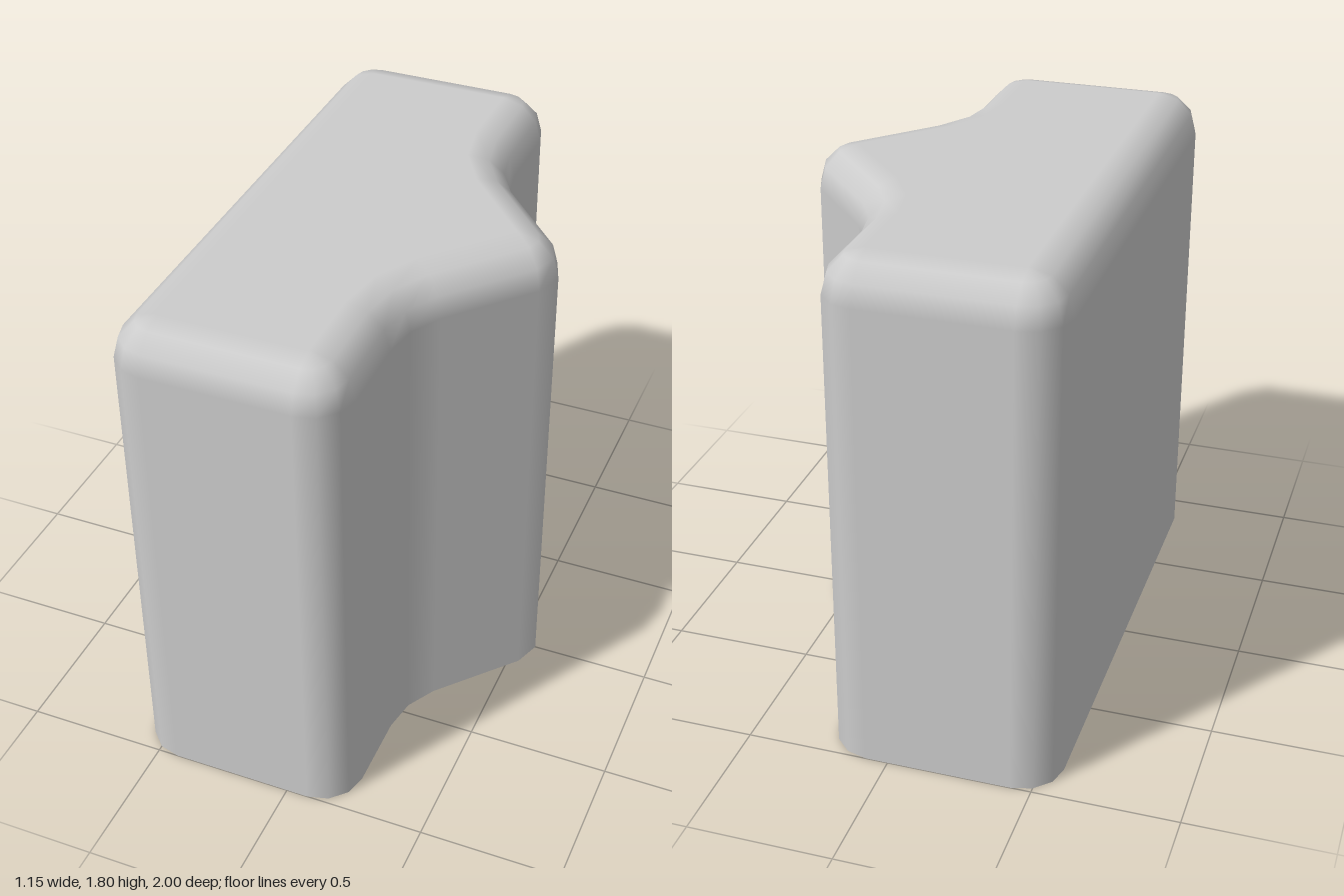
import * as THREE from 'three';

const HEIGHT = 1.8, R = 0.145; // overall height, rounding radius

// Half outline (z >= 0) from tip to back: points with outward normals
function outline() {
  const half = [];
  const arc = (cx, cz, r, degrees) => {
    for (const d of degrees) {
      const a = THREE.MathUtils.degToRad(d), nx = Math.cos(a), nz = Math.sin(a);
      half.push({ x: cx + r * nx, z: cz + r * nz, nx, nz });
    }
  };
  arc(0.428, 0, R, [0, 40]);                    // pointed nose
  arc(0.56, 0.58, -0.34, [40, 20, 0]);          // concave fillet
  arc(0.077, 1 - R, R, [0, 30, 60, 90]);        // end corner
  arc(-0.573 + R, 1 - R, R, [90, 120, 150, 180]); // rear corner
  const mirrored = half.slice(1).reverse().map(p => ({ x: p.x, z: -p.z, nx: p.nx, nz: -p.nz }));
  return [...half, ...mirrored];
}

export function createModel() {
  const group = new THREE.Group();
  group.name = 'nosedCover';
  const material = new THREE.MeshStandardMaterial({ color: 0xcccccc, side: THREE.DoubleSide });
  const loop = outline(), n = loop.length;

  // Walls and rounded shoulder: the outline shrinks along its normals towards the top
  const rings = [{ y: 0, t: 0 }];
  for (let k = 0; k <= 3; k++) {
    const t = k * Math.PI / 6;
    rings.push({ y: HEIGHT - R + R * Math.sin(t), t });
  }
  const positions = [], normals = [], index = [];
  rings.forEach(({ y, t }, k) => {
    const inset = R * (1 - Math.cos(t));
    loop.forEach((p, i) => {
      positions.push(p.x - p.nx * inset, y, p.z - p.nz * inset);
      normals.push(p.nx * Math.cos(t), Math.sin(t), p.nz * Math.cos(t));
      if (k === 0) return;
      const j = (i + 1) % n, a = (k - 1) * n + i, b = (k - 1) * n + j, c = k * n + i, d = k * n + j;
      index.push(a, c, b, b, c, d);
    });
  });
  const walls = new THREE.BufferGeometry();
  walls.setAttribute('position', new THREE.Float32BufferAttribute(positions, 3));
  walls.setAttribute('normal', new THREE.Float32BufferAttribute(normals, 3));
  walls.setIndex(index);
  const wallMesh = new THREE.Mesh(walls, material);
  wallMesh.name = 'walls';

  // Flat top; the underside stays open
  const points = loop.map(p => new THREE.Vector2(p.x - p.nx * R, -(p.z - p.nz * R)))
    .filter((p, i, all) => p.distanceTo(all[(i + 1) % n]) > 1e-4);
  const top = new THREE.ShapeGeometry(new THREE.Shape(points)).rotateX(-Math.PI / 2);
  const topMesh = new THREE.Mesh(top, material);
  topMesh.name = 'top';
  topMesh.position.y = HEIGHT;

  group.add(wallMesh, topMesh);
  return group;
}
